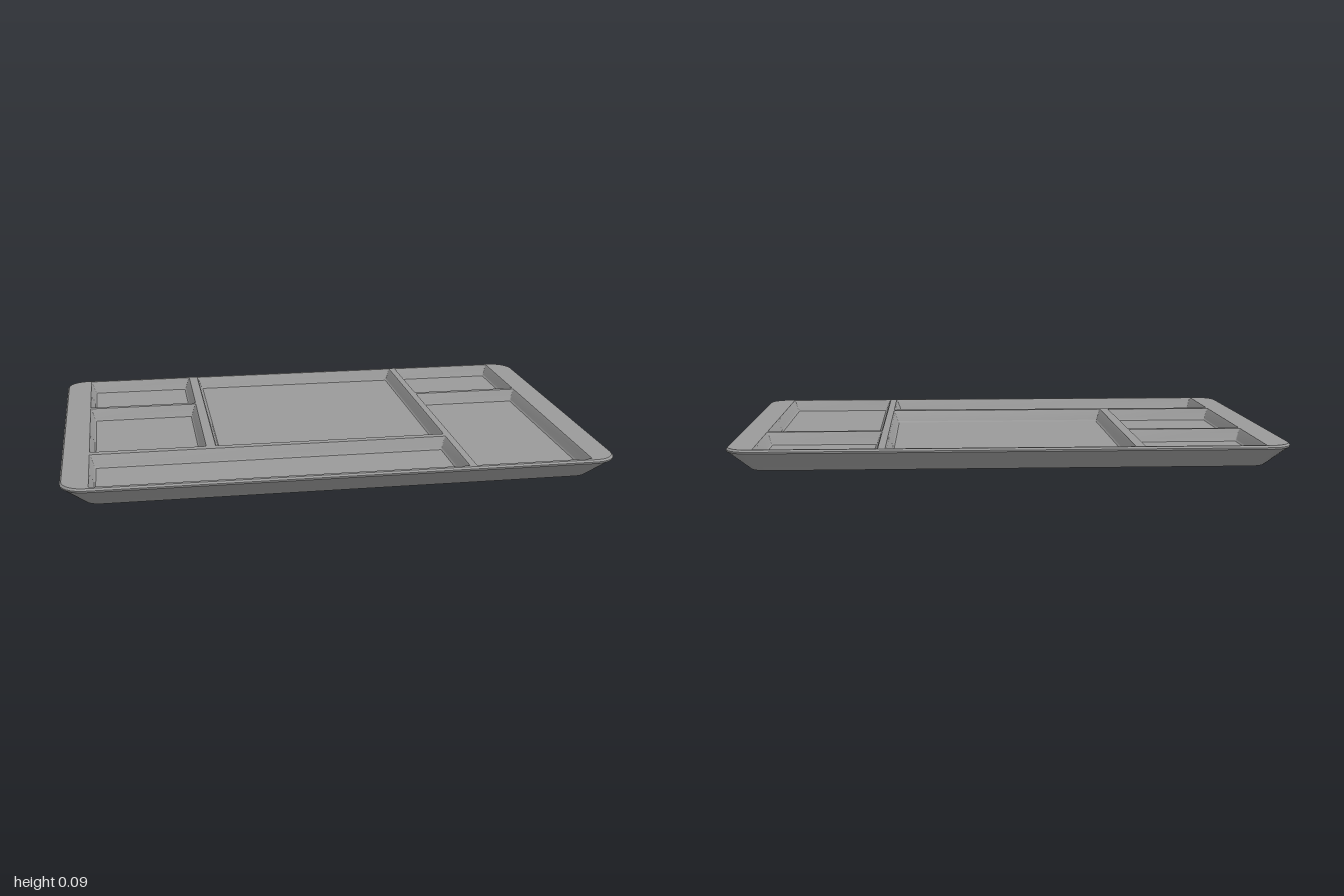
import * as THREE from 'three';
import { toCreasedNormals } from 'three/addons/utils/BufferGeometryUtils.js';

const TOP = 0.086, FLOOR = 0.04;
const material = new THREE.MeshStandardMaterial({ color: 0x999999 });

// Rounded rectangle at height y, counter-clockwise seen from above
function ring(x0, x1, z0, z1, y, r, seg) {
  const pts = [];
  const corners = [[x1 - r, z0 + r], [x0 + r, z0 + r], [x0 + r, z1 - r], [x1 - r, z1 - r]];
  corners.forEach(([cx, cz], k) => {
    for (let i = 0; i <= seg; i++) {
      const a = (k + i / seg) * Math.PI / 2;
      pts.push(new THREE.Vector3(cx + r * Math.cos(a), y, cz - r * Math.sin(a)));
    }
  });
  return pts;
}

// Skin a stack of rings; close the first one downwards or the last one upwards
function loft(rings, capFirst) {
  const n = rings[0].length, pos = [], index = [];
  rings.forEach(r => r.forEach(p => pos.push(p.x, p.y, p.z)));
  for (let k = 0; k < rings.length - 1; k++) {
    for (let i = 0; i < n; i++) {
      const a = k * n + i, b = k * n + (i + 1) % n;
      index.push(a, b, b + n, a, b + n, a + n);
    }
  }
  const last = (rings.length - 1) * n;
  for (let i = 1; i < n - 1; i++) {
    if (capFirst) index.push(0, i + 1, i);
    else index.push(last, last + i, last + i + 1);
  }
  const g = new THREE.BufferGeometry();
  g.setAttribute('position', new THREE.Float32BufferAttribute(pos, 3));
  g.setIndex(index);
  return toCreasedNormals(g, 0.45);
}

export function createModel() {
  const tray = new THREE.Group();
  tray.name = 'dividedTray';
  const add = (name, geometry) => {
    const mesh = new THREE.Mesh(geometry, material);
    mesh.name = name;
    tray.add(mesh);
  };

  // Flared outer shell: [inset, height, corner radius]
  const shell = [
    [0.078, 0, 0.06], [0.012, 0.064, 0.08],
    [0.001, 0.073, 0.085], [0, 0.079, 0.085], [0.006, TOP, 0.08],
  ].map(([d, y, r]) => ring(-1 + d, 1 - d, -0.683 + d, 0.683 - d, y, r, 6));
  add('outerShell', loft(shell, true));

  // Compartment openings: [name, x0, x1, z0, z1, spread of the front wall]
  const pockets = [
    ['rightBackCompartment', -0.9, -0.47, -0.667, -0.275, 1],
    ['rightMiddleCompartment', -0.9, -0.47, -0.255, 0.295, 1],
    ['mainCompartment', -0.435, 0.442, -0.667, 0.295, 1.5],
    ['frontCompartment', -0.9, 0.442, 0.325, 0.663, 1],
    ['leftBackCompartment', 0.468, 0.9, -0.667, -0.275, 1],
    ['leftFrontCompartment', 0.468, 0.9, -0.255, 0.663, 1],
  ];

  // Rim and dividers: flat top with one hole per compartment
  const flat = pts => pts.map(p => new THREE.Vector2(p.x, -p.z));
  const top = new THREE.Shape(flat(shell[shell.length - 1]));

  // Compartments: soft lip, sloped wall, small fillet, floor
  const wall = [[0, TOP], [0.004, TOP - 0.006], [0.017, FLOOR + 0.005], [0.022, FLOOR]];
  for (const [name, x0, x1, z0, z1, spread] of pockets) {
    const rings = wall.map(([d, y]) => ring(x0 + d, x1 - d, z0 + d, z1 - d * spread, y, 0.004, 4));
    top.holes.push(new THREE.Path(flat(rings[0])));
    add(name, loft(rings, false));
  }
  add('rimAndDividers', new THREE.ShapeGeometry(top).rotateX(-Math.PI / 2).translate(0, TOP, 0));

  return tray;
}
